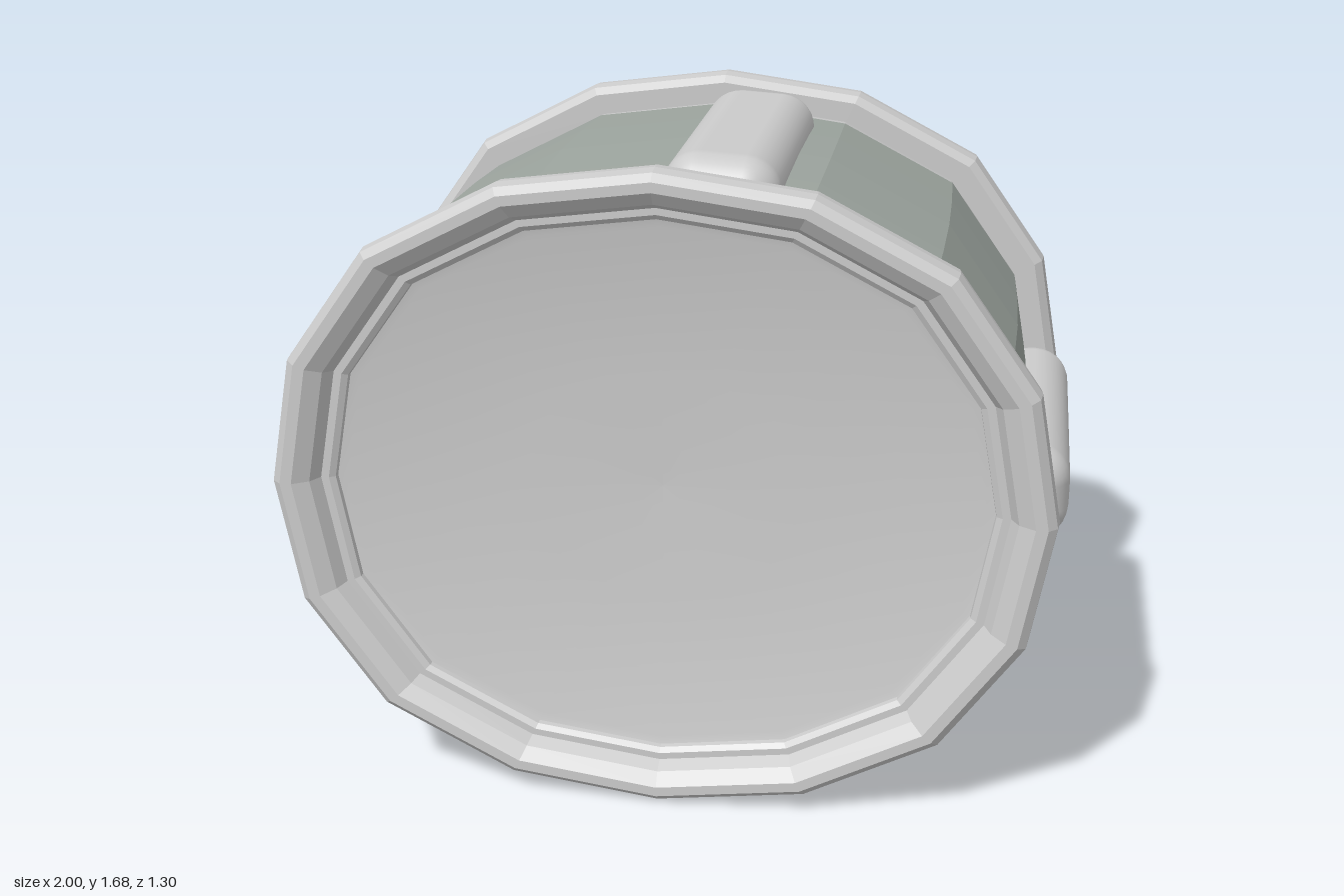
import * as THREE from 'three';
import { RoundedBoxGeometry } from 'three/addons/geometries/RoundedBoxGeometry.js';

const SIDES = 16;
const CY = 0.845;

// Sixteen-sided turned part; points are [radius, z].
// Diagonals are pushed out a little, so the outline is a slightly squared oval.
function turned(name, points, material) {
  const geo = new THREE.LatheGeometry(points.map(([r, z]) => new THREE.Vector2(r, z)), SIDES);
  geo.rotateX(Math.PI / 2);
  const pos = geo.attributes.position;
  for (let i = 0; i < pos.count; i++) {
    const x = pos.getX(i), y = pos.getY(i);
    const swell = 1 + 0.035 * Math.sin(2 * Math.atan2(y, x)) ** 2;
    pos.setXY(i, x * swell, y * swell);
  }
  geo.computeBoundingSphere();
  const mesh = new THREE.Mesh(geo, material);
  mesh.name = name;
  return mesh;
}

export function createModel() {
  const model = new THREE.Group();
  model.name = 'drum';
  const grey = new THREE.MeshStandardMaterial({ color: 0xcccccc, flatShading: true });
  const smooth = new THREE.MeshStandardMaterial({ color: 0xcccccc });
  const green = new THREE.MeshStandardMaterial({ color: 0x9ca49e, flatShading: true });

  // Oval body: all turned parts are squashed vertically together
  const body = new THREE.Group();
  body.name = 'body';
  body.position.set(-0.012, CY, 0);
  body.scale.set(1, 0.851, 1);
  model.add(body);

  // Bulging coloured shell between two plain bands
  body.add(turned('shell', [[0.901, -0.485], [0.912, -0.25], [0.917, 0], [0.912, 0.25], [0.903, 0.455]], green));
  body.add(turned('backBand', [[0.886, -0.58], [0.901, -0.485]], grey));
  body.add(turned('frontBand', [[0.903, 0.455], [0.886, 0.58]], grey));

  // Each end: rounded rim, thin inner hoop and slightly dished skin
  for (const side of ['front', 'back']) {
    const end = new THREE.Group();
    end.name = side + 'End';
    if (side === 'back') end.rotation.y = Math.PI;
    end.add(turned('rim', [
      [0.86, 0.56], [0.89, 0.53], [0.96, 0.53], [0.982, 0.55], [0.987, 0.59],
      [0.982, 0.63], [0.96, 0.65], [0.93, 0.65], [0.89, 0.625], [0.865, 0.58], [0.86, 0.56],
    ], grey));
    const hoop = turned('hoop', [[0.88, 0.59], [0.85, 0.59], [0.835, 0.58], [0.83, 0.54]], grey);
    const skin = turned('skin', [[0.85, 0.57], [0.81, 0.56], [0.6, 0.535], [0.35, 0.517], [0, 0.51]], smooth);
    end.add(hoop, skin);
    body.add(end);
  }

  // Four rounded bars along the shell: [name, outer x, outer y, width, roll]
  const H = 0.2;
  const bars = [
    ['topBar', 0.12, 1.672, 0.3, -0.06],
    ['leftBar', 1.0, 0.835, 0.26, -Math.PI / 2],
    ['bottomBar', 0.12, 0.03, 0.3, Math.PI + 0.06],
    ['rightBar', -0.955, 0.835, 0.26, Math.PI / 2],
  ];
  for (const [name, x, y, width, roll] of bars) {
    const geo = new RoundedBoxGeometry(width, H, 0.91, 4, 0.095);
    geo.translate(0, -H / 2, 0);
    const bar = new THREE.Mesh(geo, smooth);
    bar.name = name;
    bar.position.set(x, y, 0);
    bar.rotation.z = roll;
    model.add(bar);
  }
  return model;
}
